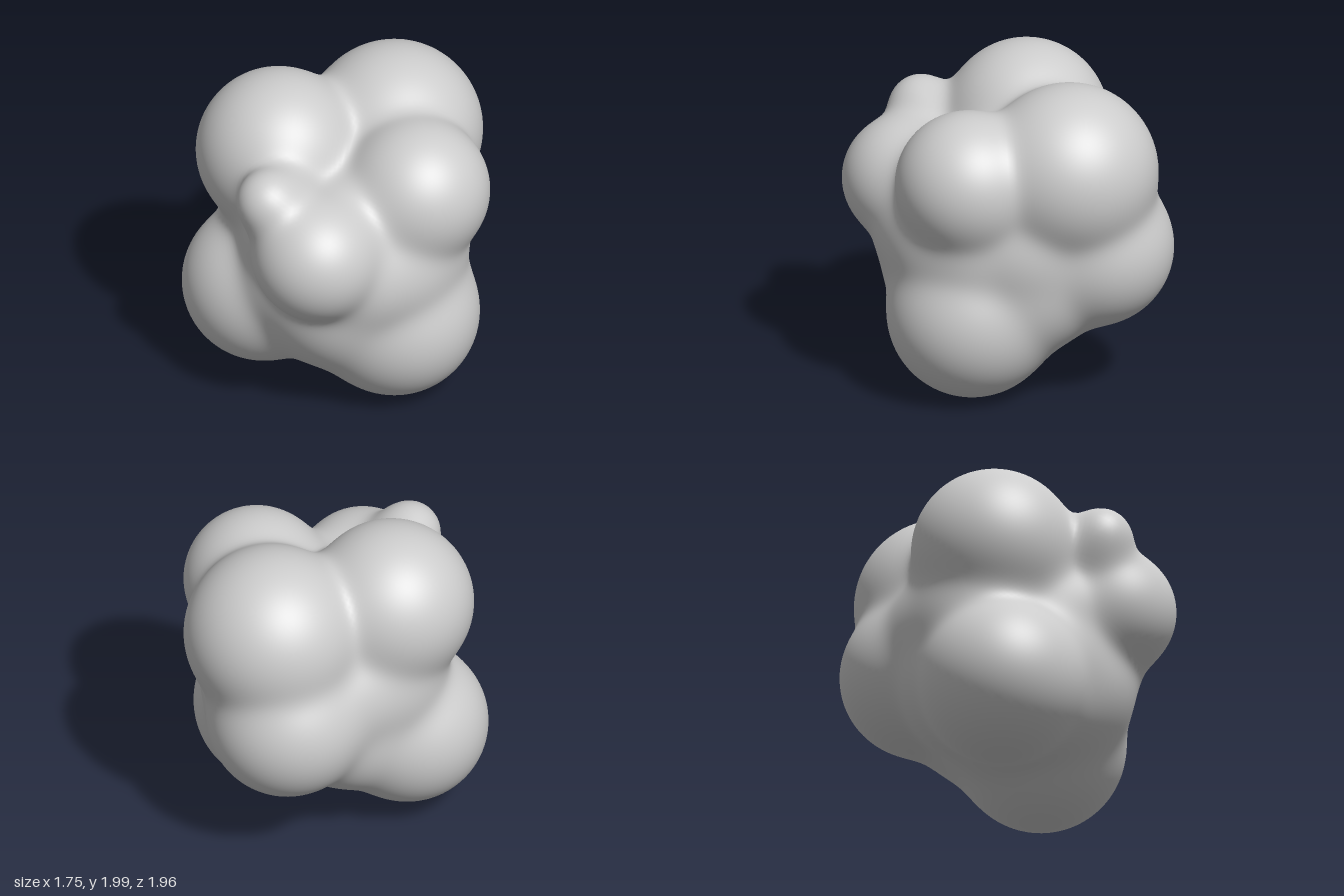
import * as THREE from 'three';
import { mergeVertices } from 'three/addons/utils/BufferGeometryUtils.js';

// Lobes of the body: x, y, z, radius
const LOBES = [
  [-0.36, 1.50, 0.28, 0.50],  // upper right front
  [-0.11, 1.45, -0.44, 0.535], // upper back
  [-0.39, 0.58, 0.38, 0.49],  // lower right front
  [-0.28, 0.93, -0.46, 0.485], // lower back
  [0.43, 1.41, -0.13, 0.44],  // upper left
  [0.32, 1.20, 0.60, 0.385],  // front left
  [0.07, 1.56, 0.77, 0.175],  // small front knob
  [0.325, 0.52, -0.04, 0.515], // bottom left
];
// Inner masses that fill the valleys between the lobes
const FILLS = [
  [0, 1.0, 0, 0.58],          // core
  [0.36, 0.98, 0.06, 0.415],  // left flank
  [0.33, 0.98, 0.26, 0.39],   // left flank, towards the front
  [0.36, 0.99, -0.11, 0.355], // left flank, towards the back
  [0.18, 0.77, 0.33, 0.41],   // under the front lobe
  [0.19, 0.66, 0.25, 0.40],   // front lobe to bottom lobe
  [-0.05, 0.82, 0.40, 0.35],  // front middle
  [0.0, 0.62, 0.30, 0.37],    // front, between the lower lobes
  [0.0, 1.12, 0.38, 0.385],   // front, between the upper lobes
  [-0.32, 1.05, 0.15, 0.455], // right flank
  [-0.36, 1.06, -0.10, 0.38], // right flank, towards the back
  [-0.31, 0.72, 0.0, 0.42],   // right flank, low
  [0.10, 1.0, -0.28, 0.43],   // back left
  [0.05, 0.72, -0.27, 0.42],  // back, between the lower lobes
  [-0.02, 0.63, 0.05, 0.44],  // underside
  [0.12, 1.25, 0.10, 0.31],   // top valley
  [0.30, 1.28, 0.28, 0.28],   // front lobe to upper left lobe
  [0.09, 1.45, 0.70, 0.19],   // knob to front lobe
  [0.03, 1.51, 0.60, 0.16],   // knob to upper right lobe
];
const SPHERES = [...LOBES, ...FILLS];
const BLEND = 0.045;

// Smoothly blended distance to all the spheres
function distance(p) {
  let sum = 0;
  for (const [x, y, z, r] of SPHERES) {
    const d = Math.hypot(p.x - x, p.y - y, p.z - z) - r;
    sum += Math.exp(-d / BLEND);
  }
  return -BLEND * Math.log(sum);
}

// Shrink-wrap a fine sphere onto the blended surface
function blobGeometry() {
  let geometry = new THREE.IcosahedronGeometry(1, 36);
  geometry.deleteAttribute('uv');
  geometry.deleteAttribute('normal');
  geometry = mergeVertices(geometry, 1e-5);
  const position = geometry.attributes.position;
  const centre = new THREE.Vector3(0, 1, 0);
  const dir = new THREE.Vector3();
  const p = new THREE.Vector3();
  for (let i = 0; i < position.count; i++) {
    dir.fromBufferAttribute(position, i).normalize();
    let t = 1.8;
    for (let step = 0; step < 80; step++) {
      const d = distance(p.copy(centre).addScaledVector(dir, t));
      t -= d;
      if (d < 0.0005) break;
    }
    p.copy(centre).addScaledVector(dir, t);
    position.setXYZ(i, p.x, p.y, p.z);
  }
  geometry.computeBoundingBox();
  geometry.translate(0, -geometry.boundingBox.min.y, 0);
  geometry.computeVertexNormals();
  return geometry;
}

export function createModel() {
  const group = new THREE.Group();
  group.name = 'blobCluster';
  const grey = new THREE.MeshStandardMaterial({ color: 0xcccccc });
  grey.name = 'light grey';
  const body = new THREE.Mesh(blobGeometry(), grey);
  body.name = 'lobedBody';
  group.add(body);
  return group;
}
